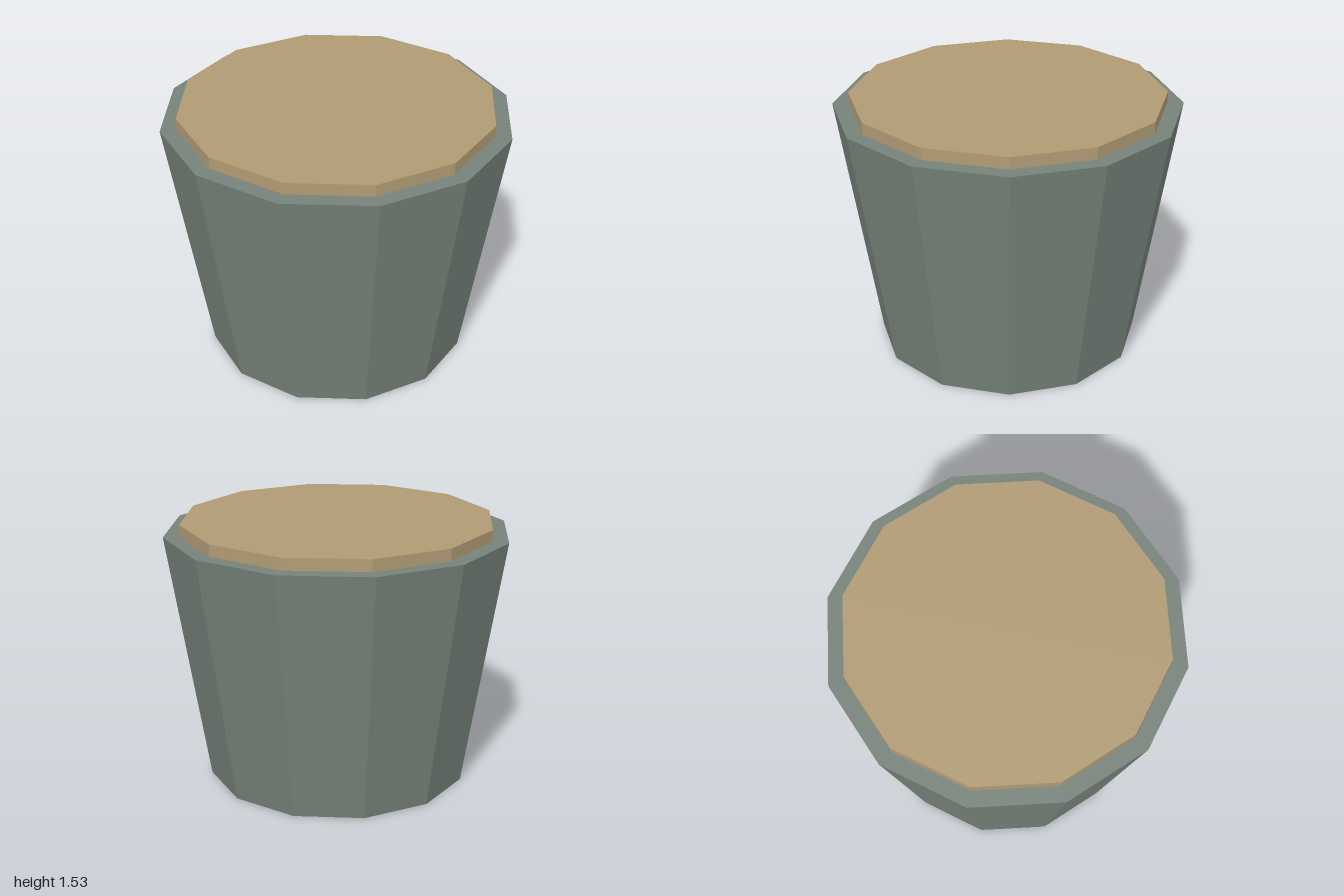
import * as THREE from 'three';

const SIDES = 12;

export function createModel() {
  const group = new THREE.Group();
  group.name = 'stopper';

  const greyGreen = new THREE.MeshStandardMaterial({ color: 0x76837a });
  greyGreen.name = 'greyGreen';
  const tan = new THREE.MeshStandardMaterial({ color: 0xb09b74 });
  tan.name = 'tan';

  // Twelve-sided frustum standing between two heights
  function addFrustum(name, topRadius, bottomRadius, y0, y1, material) {
    const geometry = new THREE.CylinderGeometry(topRadius, bottomRadius, y1 - y0, SIDES).toNonIndexed();
    geometry.computeVertexNormals(); // flat facets
    const mesh = new THREE.Mesh(geometry, material);
    mesh.name = name;
    mesh.position.y = (y0 + y1) / 2;
    group.add(mesh);
  }

  // Tapered body, and the straight-sided disc raised on its top
  addFrustum('body', 1, 0.768, 0, 1.467, greyGreen);
  addFrustum('topDisc', 0.907, 0.907, 1.467, 1.535, tan);

  return group;
}
